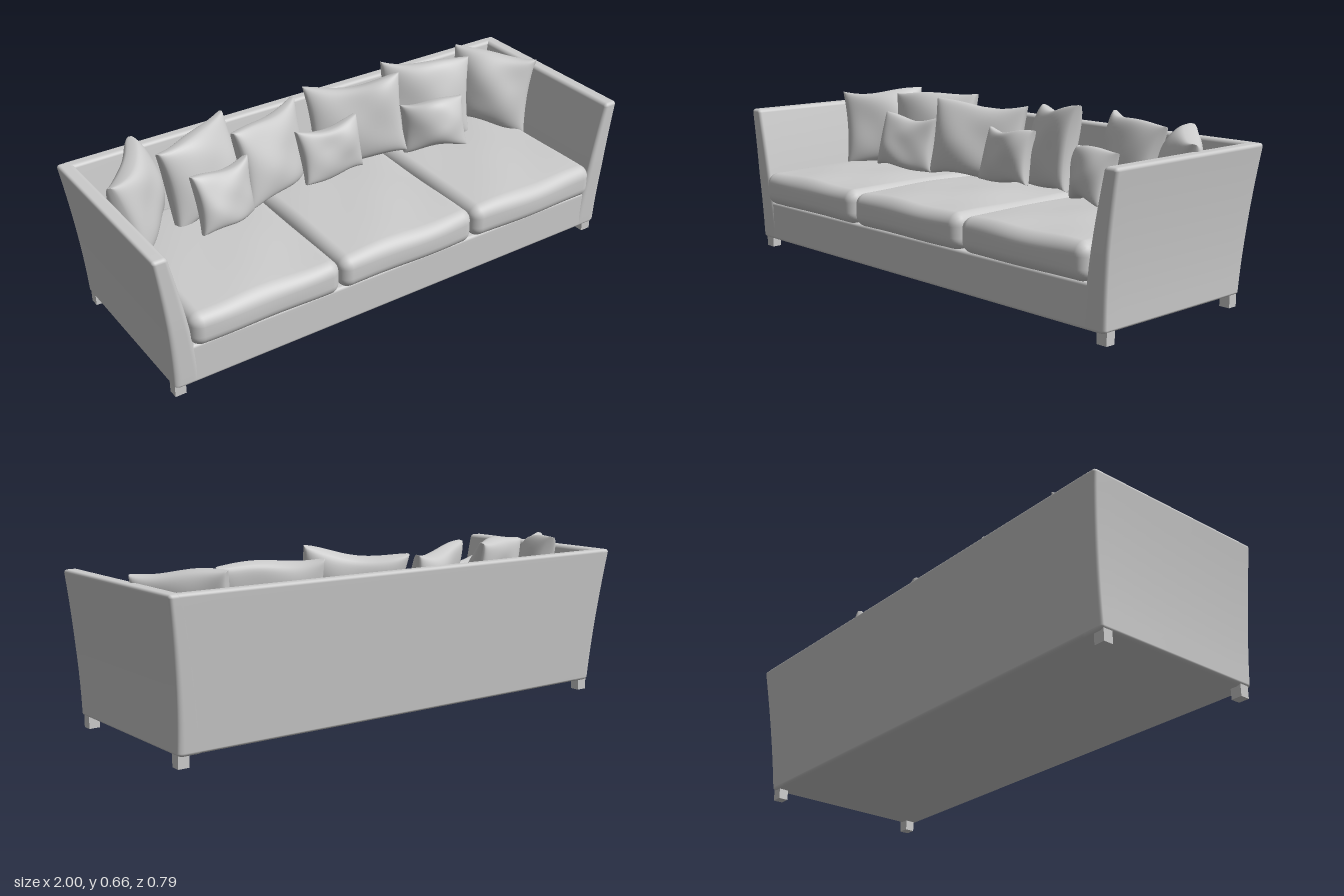
import * as THREE from 'three';
import { mergeVertices } from 'three/addons/utils/BufferGeometryUtils.js';

const material = new THREE.MeshStandardMaterial({ color: 0xcccccc });

// Move every vertex by a rule, then weld and smooth.
function reshape(geometry, rule) {
  geometry.deleteAttribute('uv');
  geometry.deleteAttribute('normal');
  const pos = geometry.attributes.position;
  const p = new THREE.Vector3();
  for (let i = 0; i < pos.count; i++) {
    p.fromBufferAttribute(pos, i);
    rule(p);
    pos.setXYZ(i, p.x, p.y, p.z);
  }
  const welded = mergeVertices(geometry, 1e-5);
  welded.computeVertexNormals();
  return welded;
}

// Rounded box with subdivided faces, so that it can be bent by a further rule.
function softBox(w, h, d, r, rule, n = 18, k = 4) {
  const half = new THREE.Vector3(w / 2, h / 2, d / 2);
  const inner = half.clone().subScalar(r);
  const place = (c, size) => {
    const i = Math.round((c + 1) / 2 * n);
    const j = Math.min(i, n - i);
    const side = i < n / 2 ? -1 : 1;
    if (j <= k) return side * (size - r + r * Math.tan(Math.PI / 4 * (1 - j / k)));
    return (size - r) * (2 * (i - k) / (n - 2 * k) - 1);
  };
  return reshape(new THREE.BoxGeometry(2, 2, 2, n, n, n), (p) => {
    p.set(place(p.x, half.x), place(p.y, half.y), place(p.z, half.z));
    const core = p.clone().clamp(inner.clone().negate(), inner);
    p.sub(core).setLength(r).add(core);
    rule?.(p);
  });
}

// Loose pillow: full in the middle, pinched at the seams, with pointed corners.
function pillow(w, h, t, seed) {
  return reshape(new THREE.BoxGeometry(2, 2, 2, 28, 28, 2), (p) => {
    const u = Math.sin(p.x * Math.PI / 2), v = Math.sin(p.y * Math.PI / 2);
    const fu = 1 - u * u, fv = 1 - v * v;
    const fullness = Math.pow(Math.max(fu * fv, 0), 0.36);
    const crease = 1 + 0.1 * Math.sin(4 * u + seed) * Math.cos(3.4 * v + 2 * seed);
    const side = p.z;
    p.x = w / 2 * u * (1 - 0.07 * fv) + 0.008 * Math.sin(3 * v + seed) * fu;
    p.y = h / 2 * v * (1 - 0.09 * fu) + 0.008 * Math.sin(3 * u + seed) * Math.abs(v);
    p.z = side * (0.006 + t / 2 * fullness * crease) + 0.012 * Math.sin(2 * u + v + seed) - 0.015 * u * u;
  });
}

export function createModel() {
  const model = new THREE.Group();
  const add = (geometry, name, x = 0, y = 0, z = 0) => {
    const mesh = new THREE.Mesh(geometry, material);
    mesh.name = name;
    mesh.position.set(x, y, z);
    model.add(mesh);
    return mesh;
  };

  // Flaring shell: the walls lean outwards and get thinner towards the top.
  const bottom = 0.04, height = 0.535;
  const outerX = (t) => 0.953 + 0.047 * Math.pow(Math.max(t, 0), 1.7);
  const backZ = (t) => -0.345 - 0.05 * t;
  const frontZ = (t) => 0.357 + 0.009 * Math.min(1, 2 * t);
  const taper = (t) => 1 + 0.8 * (1 - t);
  const armWidth = 0.055, backDepth = 0.045;

  for (const s of [1, -1]) {
    add(softBox(armWidth, height, 0.7, 0.013, (p) => {
      const t = p.y / height + 0.5;
      const inset = armWidth / 2 - s * p.x;
      p.x = s * (outerX(t) - inset * taper(t));
      p.y += bottom + height / 2;
      p.z = THREE.MathUtils.lerp(backZ(t), frontZ(t), p.z / 0.7 + 0.5);
    }), s > 0 ? 'leftArm' : 'rightArm');
  }

  add(softBox(2, height, backDepth, 0.012, (p) => {
    const t = p.y / height + 0.5;
    p.x *= outerX(t) - 0.025;
    p.z = backZ(t) + (p.z + backDepth / 2) * taper(t);
    p.y += bottom + height / 2;
  }), 'backrest');

  // Base frame under the seat
  add(softBox(1.86, 0.155, 0.687, 0.012), 'base', 0, 0.1175, 0.0135);

  // Block feet
  for (const x of [-0.928, 0.928]) {
    for (const z of [-0.315, 0.322]) {
      add(new THREE.BoxGeometry(0.042, 0.05, 0.038), 'foot', x, 0.025, z);
    }
  }

  // Three crowned seat cushions
  for (let i = -1; i <= 1; i++) {
    add(softBox(0.588, 0.13, 0.69, 0.042, (p) => {
      const u = p.x / 0.294, v = p.z / 0.345, q = p.y / 0.065;
      const crown = Math.max(0, (1 - u * u) * (1 - v * v));
      if (q > 0) p.y += q * (0.016 * crown + 0.003 * Math.sin(5 * u + i) * Math.cos(4 * v));
      if (v > 0) p.z += v * 0.008 * (1 - u * u) * (1 - q * q);
      p.z += 0.003 * Math.sin(4 * u + 2 * i) * v;
    }, 26, 5), 'seatCushion', i * 0.592, 0.258, 0.04);
  }

  // Loose pillows: width, height, thickness, x, y, z, yaw, lean, roll (degrees)
  const pillows = [
    ['backPillow', 0.34, 0.32, 0.13, -0.79, 0.475, -0.17, 54, -13, 2],
    ['backPillow', 0.37, 0.32, 0.11, -0.51, 0.485, -0.205, 20, -14, 3],
    ['backPillow', 0.39, 0.31, 0.11, -0.225, 0.47, -0.19, 24, -13, -2],
    ['backPillow', 0.38, 0.32, 0.12, 0.165, 0.485, -0.205, -24, -14, 5],
    ['backPillow', 0.37, 0.32, 0.11, 0.52, 0.48, -0.225, -20, -14, -3],
    ['backPillow', 0.34, 0.31, 0.13, 0.81, 0.47, -0.17, -54, -13, -3],
    ['smallPillow', 0.26, 0.22, 0.09, -0.505, 0.445, -0.055, 13, -14, -2],
    ['smallPillow', 0.26, 0.21, 0.09, 0, 0.44, -0.13, 0, -14, 1],
    ['smallPillow', 0.26, 0.20, 0.09, 0.465, 0.435, -0.095, -20, -14, 2],
  ];
  pillows.forEach(([name, w, h, t, x, y, z, yaw, lean, roll], i) => {
    const mesh = add(pillow(w, h, t, i * 1.7), name, x, y, z);
    const rad = THREE.MathUtils.degToRad;
    mesh.rotation.set(rad(lean), rad(yaw), rad(roll), 'YXZ');
  });

  return model;
}
